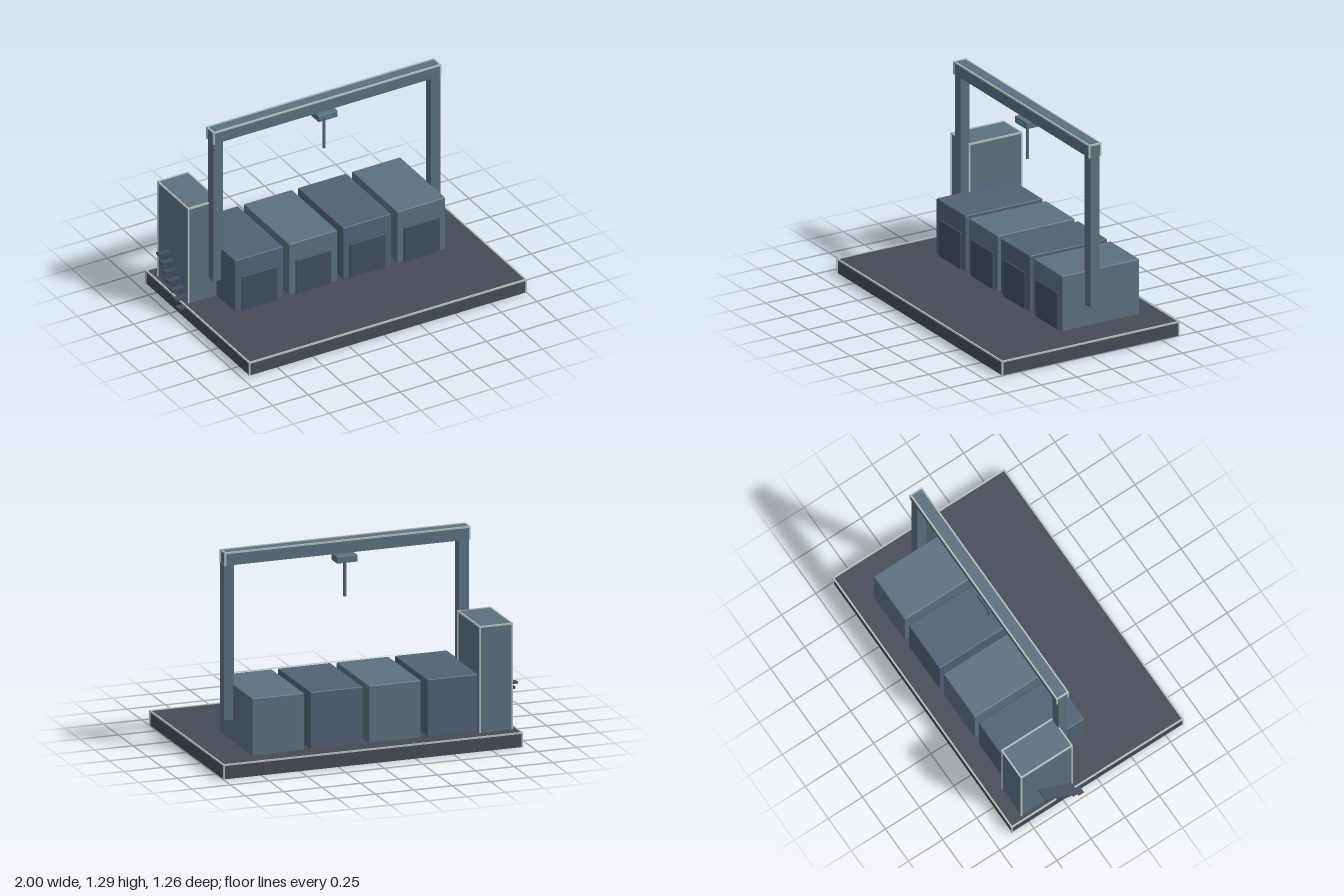
import * as THREE from 'three';
import { RoundedBoxGeometry } from 'three/addons/geometries/RoundedBoxGeometry.js';

const paint = (color) => new THREE.MeshStandardMaterial({ color });
const materials = {
  base: paint(0x454b57),
  steel: paint(0x5c7080),
  blue: paint(0x526177),
  door: paint(0x434e60),
  trim: paint(0xb4c0bd),
  light: paint(0x2a8fa8),
};

// Box given by its [min, max] range on each axis; a bevel softens the edges
function box(parent, name, material, [x0, x1], [y0, y1], [z0, z1], bevel = 0) {
  const size = [x1 - x0, y1 - y0, z1 - z0];
  const geometry = bevel
    ? new RoundedBoxGeometry(...size, 2, bevel)
    : new THREE.BoxGeometry(...size);
  const mesh = new THREE.Mesh(geometry, material);
  mesh.name = name;
  mesh.position.set((x0 + x1) / 2, (y0 + y1) / 2, (z0 + z1) / 2);
  parent.add(mesh);
  return mesh;
}

// Box with pale strips along its top edges and upright corners
function trimmedBox(parent, name, material, x, y, z) {
  const group = new THREE.Group();
  group.name = name;
  parent.add(group);
  const w = 0.01;
  const inset = w / 2;
  const shrink = ([a, b]) => [a + inset, b - inset];
  box(group, name + 'Body', material, shrink(x), [y[0], y[1] - inset], shrink(z));
  const ends = ([a, b]) => [[a, a + w], [b - w, b]];
  const top = [y[1] - w, y[1]];
  for (const ez of ends(z)) {
    box(group, 'topTrim', materials.trim, x, top, ez);
    for (const ex of ends(x)) box(group, 'cornerTrim', materials.trim, ex, [y[0], y[1] - w], ez);
  }
  for (const ex of ends(x)) box(group, 'topTrim', materials.trim, ex, top, [z[0] + w, z[1] - w]);
}

export function createModel() {
  const model = new THREE.Group();
  model.name = 'gantryYard';

  // Ground slab and control tower
  trimmedBox(model, 'base', materials.base, [-0.95, 1], [0, 0.095], [-0.63, 0.63]);
  trimmedBox(model, 'tower', materials.steel, [-0.92, -0.7], [0.09, 0.765], [-0.54, -0.16]);

  // Row of four bays in alternating colours, each with a front door
  for (let i = 0; i < 4; i++) {
    const x = -0.55 + i * 0.38;
    const bay = new THREE.Group();
    bay.name = 'bay' + (i + 1);
    model.add(bay);
    box(bay, 'bayBody', i % 2 ? materials.steel : materials.blue,
      [x - 0.17, x + 0.17], [0.085, 0.45], [-0.49, 0.06], 0.007);
    box(bay, 'bayDoor', materials.door, [x - 0.125, x + 0.125], [0.085, 0.327], [0.05, 0.07], 0.004);
  }

  // Gantry: two posts carrying a beam
  const gantry = new THREE.Group();
  gantry.name = 'gantry';
  model.add(gantry);
  for (const x of [-0.742, 0.787]) {
    box(gantry, 'post', materials.steel, [x - 0.033, x + 0.033], [0.23, 1.215], [-0.17, -0.105]);
  }
  trimmedBox(gantry, 'beam', materials.steel, [-0.78, 0.82], [1.21, 1.295], [-0.185, -0.095]);

  // Trolley below the beam with its lamp and hoist rod
  const trolley = new THREE.Group();
  trolley.name = 'trolley';
  model.add(trolley);
  box(trolley, 'trolleyBody', materials.steel, [-0.045, 0.09], [1.148, 1.192], [-0.185, -0.09], 0.004);
  box(trolley, 'lamp', materials.light, [-0.005, 0.05], [1.162, 1.178], [-0.095, -0.084]);
  const rod = new THREE.Mesh(new THREE.CylinderGeometry(0.01, 0.01, 0.23, 12), materials.steel);
  rod.name = 'hoistRod';
  rod.position.set(0.022, 1.04, -0.14);
  trolley.add(rod);

  // Open stair on the tower's outer wall, descending toward the front
  const stair = new THREE.Group();
  stair.name = 'stair';
  model.add(stair);
  for (let i = 0; i < 7; i++) {
    const y = 0.344 - i * 0.0432;
    const z = -0.41 + i * 0.0395;
    box(stair, 'tread', materials.door, [-1, -0.91], [y - 0.007, y + 0.007], [z, z + 0.038]);
  }

  return model;
}
